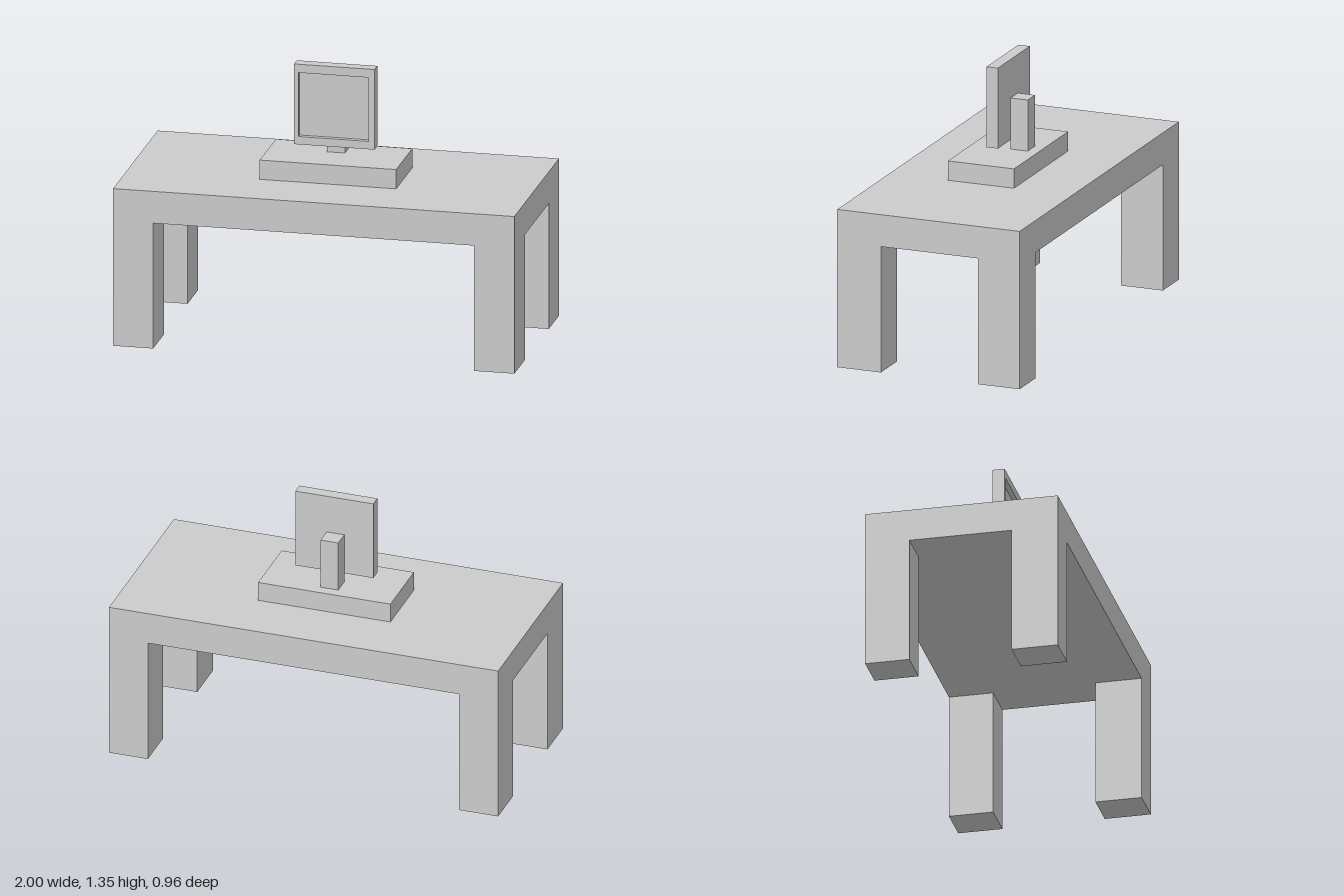
import * as THREE from 'three';

const material = new THREE.MeshStandardMaterial({ color: 0xcccccc, flatShading: true });

// Box given by its [min, max] extent along each axis
function block(name, [x0, x1], [y0, y1], [z0, z1]) {
  const mesh = new THREE.Mesh(new THREE.BoxGeometry(x1 - x0, y1 - y0, z1 - z0), material);
  mesh.position.set((x0 + x1) / 2, (y0 + y1) / 2, (z0 + z1) / 2);
  mesh.name = name;
  return mesh;
}

function rectangle(path, x0, x1, y0, y1) {
  path.moveTo(x0, y0);
  path.lineTo(x1, y0);
  path.lineTo(x1, y1);
  path.lineTo(x0, y1);
  path.closePath();
  return path;
}

function createTable() {
  const table = new THREE.Group();
  table.name = 'table';
  table.add(block('tableTop', [-1, 1], [0.638, 0.8], [-0.48, 0.48]));

  // Four legs at the corners
  for (const [side, x] of [['Left', [0.8, 1]], ['Right', [-1, -0.8]]]) {
    table.add(block('front' + side + 'Leg', x, [0, 0.638], [0.25, 0.48]));
    table.add(block('back' + side + 'Leg', x, [0, 0.638], [-0.48, -0.26]));
  }
  return table;
}

function createMonitor() {
  const monitor = new THREE.Group();
  monitor.name = 'monitor';
  const recess = 0.005; // z of the sunken screen face

  monitor.add(block('base', [-0.34, 0.34], [0.8, 0.898], [-0.174, 0.174]));
  monitor.add(block('neck', [-0.053, 0.038], [0.898, 1.157], [-0.12, -0.03]));
  monitor.add(block('screen', [-0.202, 0.199], [0.945, 1.353], [-0.03, recess]));

  // Bezel standing proud around the screen
  const outline = rectangle(new THREE.Shape(), -0.202, 0.199, 0.945, 1.353);
  outline.holes.push(rectangle(new THREE.Path(), -0.181, 0.168, 0.985, 1.31));
  const bezel = new THREE.Mesh(
    new THREE.ExtrudeGeometry(outline, { depth: 0.03 - recess, bevelEnabled: false }),
    material
  );
  bezel.position.z = recess;
  bezel.name = 'bezel';
  monitor.add(bezel);
  return monitor;
}

export function createModel() {
  const model = new THREE.Group();
  model.name = 'deskWithMonitor';
  model.add(createTable(), createMonitor());
  return model;
}
